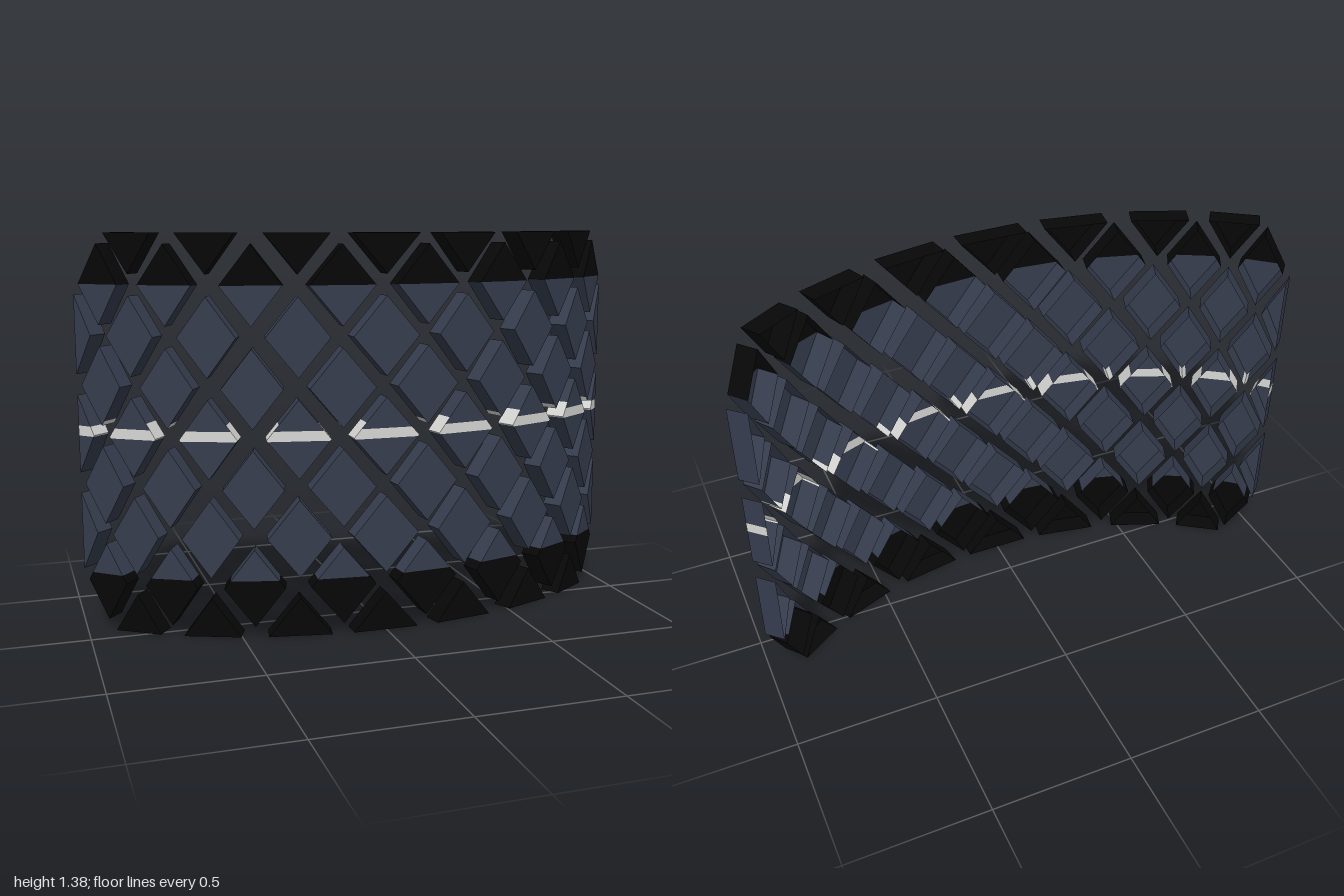
import * as THREE from 'three';

const mat = (name, color) => {
  const m = new THREE.MeshStandardMaterial({ color, side: THREE.DoubleSide });
  m.name = name;
  return m;
};

export function createModel() {
  const navy = mat('navy', 0x363d4e);
  const black = mat('black', 0x070707);
  const grey = mat('light grey', 0xd8d8d6);

  const HEIGHT = 1.38, ROW = HEIGHT / 8;    // half-pitch between rows
  const A = 1.19, B = 0.82, FRONT = 0.208;  // elliptical bend of the panel
  const DEPTH = 0.075, HALF_HEIGHT = 0.79 * ROW;
  // Position of each column along the bend, from the middle outwards
  const BEND = [0, 0.129, 0.258, 0.393, 0.526, 0.655, 0.777, 0.893, 0.998];

  // Colour bands from bottom to top: low, high, face colour, wall colour
  const bands = [
    [0, 0.2, black, black],
    [0.2, 0.685, navy, navy],
    [0.685, 0.72, grey, grey],
    [0.72, 0.742, navy, grey],
    [0.742, 1.208, navy, navy],
    [1.208, HEIGHT, black, black],
  ];

  // Outline of a diamond between two heights, anticlockwise
  function slice(cy, left, right, lo, hi) {
    lo = Math.max(lo, cy - HALF_HEIGHT);
    hi = Math.min(hi, cy + HALF_HEIGHT);
    if (hi - lo < 1e-4) return null;
    const ys = lo < cy - 1e-6 && hi > cy + 1e-6 ? [lo, cy, hi] : [lo, hi];
    const w = y => Math.max(0, 1 - Math.abs(y - cy) / HALF_HEIGHT);
    const pts = ys.map(y => new THREE.Vector2(right * w(y), y));
    for (const y of [...ys].reverse()) pts.push(new THREE.Vector2(-left * w(y), y));
    const clean = pts.filter((p, i) => p.distanceTo(pts[(i + 1) % pts.length]) > 1e-5);
    return clean.length > 2 ? clean : null;
  }

  // Side walls behind an outline, leaving out the seams between colour bands
  function wallGeometry(pts) {
    const pos = [];
    pts.forEach((p, i) => {
      const q = pts[(i + 1) % pts.length];
      const level = Math.abs(p.y - q.y) < 1e-6;
      if (level && p.y > 1e-6 && p.y < HEIGHT - 1e-6) return;
      const a = [p.x, p.y, -DEPTH], b = [q.x, q.y, -DEPTH];
      const c = [q.x, q.y, 0], d = [p.x, p.y, 0];
      pos.push(...a, ...b, ...c, ...a, ...c, ...d);
    });
    const geo = new THREE.BufferGeometry();
    geo.setAttribute('position', new THREE.Float32BufferAttribute(pos, 3));
    geo.computeVertexNormals();
    return geo;
  }

  function addMesh(parent, name, geo, material) {
    const mesh = new THREE.Mesh(geo, material);
    mesh.name = name;
    parent.add(mesh);
  }

  const model = new THREE.Group();
  model.name = 'curvedDiamondPanel';

  for (let col = -8; col <= 8; col++) {
    const k = Math.abs(col);
    const t = Math.sign(col) * BEND[k];
    const column = new THREE.Group();
    column.name = 'diamondColumn';
    column.position.set(A * Math.sin(t), 0, FRONT - B * (1 - Math.cos(t)));
    column.rotation.y = Math.atan2(B * Math.sin(t), A * Math.cos(t));
    const halfWidth = 0.118 - 0.003 * k - 0.0004 * k * k; // narrower to the ends
    const left = col === -8 ? 0 : halfWidth;   // end columns are cut in half
    const right = col === 8 ? 0 : halfWidth;

    for (let row = k % 2; row <= 8; row += 2) {
      if (k === 8 && (row === 0 || row === 8)) continue; // open corners
      // Each tile is a shallow shell, open at the back
      const tile = new THREE.Group();
      tile.name = 'diamondTile';
      for (const [lo, hi, face, wall] of bands) {
        const pts = slice(row * ROW, left, right, lo, hi);
        if (!pts) continue;
        addMesh(tile, 'tileFace', new THREE.ShapeGeometry(new THREE.Shape(pts)), face);
        addMesh(tile, 'tileWall', wallGeometry(pts), k === 8 ? face : wall);
      }
      column.add(tile);
    }
    model.add(column);
  }
  return model;
}
